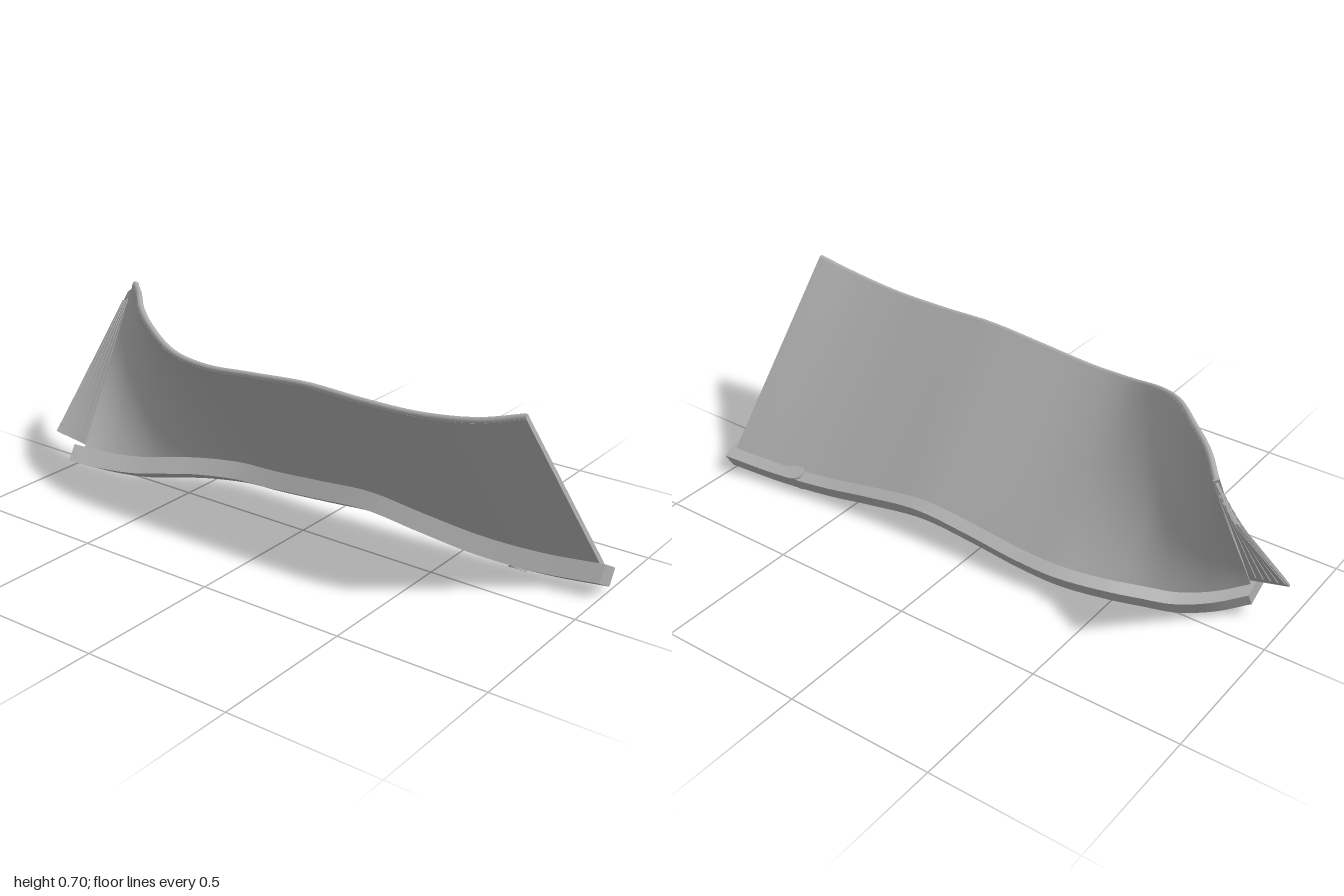
import * as THREE from 'three';
import { toCreasedNormals } from 'three/addons/utils/BufferGeometryUtils.js';

const V = (x, y, z) => new THREE.Vector3(x, y, z);

// closed solid from matching loops, counter-clockwise seen from the first end
function loft(loops) {
  const pos = [];
  const tri = (...pts) => pts.forEach(p => pos.push(p.x, p.y, p.z));
  const n = loops[0].length;
  for (let i = 0; i < loops.length - 1; i++) {
    for (let j = 0; j < n; j++) {
      const k = (j + 1) % n;
      const a = loops[i][j], b = loops[i][k], c = loops[i + 1][k], d = loops[i + 1][j];
      tri(a, d, c);
      tri(a, c, b);
    }
  }
  // end caps, joined as ladders across the loop
  const first = loops[0], last = loops[loops.length - 1];
  for (let j = 0; j < n / 2 - 1; j++) {
    const k = n - 1 - j;
    tri(first[j], first[j + 1], first[k - 1]);
    tri(first[j], first[k - 1], first[k]);
    tri(last[j], last[k - 1], last[j + 1]);
    tri(last[j], last[k], last[k - 1]);
  }
  const g = new THREE.BufferGeometry();
  g.setAttribute('position', new THREE.Float32BufferAttribute(pos, 3));
  return toCreasedNormals(g, 0.6);
}

// thin slab spanned by straight lines from a lower to an upper edge
function ruledSlab(low, high, half, rows) {
  const tangent = (pts, i) => pts[Math.min(i + 1, pts.length - 1)].clone().sub(pts[Math.max(i - 1, 0)]);
  return loft(low.map((b, i) => {
    const up = high[i].clone().sub(b);
    const right = [], left = [];
    for (let r = 0; r <= rows; r++) {
      const p = b.clone().lerp(high[i], r / rows);
      const n = tangent(low, i).lerp(tangent(high, i), r / rows).cross(up).setLength(half);
      right.push(p.clone().add(n));
      left.unshift(p.clone().sub(n));
    }
    return [...right, ...left];
  }));
}

export function createModel() {
  const group = new THREE.Group();
  const grey = new THREE.MeshStandardMaterial({ color: 0xaeaeae });
  grey.name = 'grey';
  const add = (name, geometry) => {
    const m = new THREE.Mesh(geometry, grey);
    m.name = name;
    group.add(m);
    return m;
  };

  // inner upper corner of the rail, front to back
  const railPath = [
    [0.18, 0.105, 1], [0.152, 0.095, 0.8], [0.128, 0.103, 0.6], [0.11, 0.13, 0.4],
    [0.1, 0.155, 0.2], [0.097, 0.142, 0], [0.1, 0.125, -0.2], [0.095, 0.12, -0.35],
    [0.055, 0.112, -0.5], [0.012, 0.103, -0.6], [-0.035, 0.095, -0.7],
    [-0.095, 0.108, -0.8], [-0.16, 0.137, -0.89]
  ];
  // upper edge of the sheet, twisting over at the back
  const topPath = [
    [-0.212, 0.682, 0.915], [-0.234, 0.646, 0.78], [-0.243, 0.623, 0.6], [-0.245, 0.62, 0.4],
    [-0.245, 0.625, 0.2], [-0.245, 0.611, 0], [-0.243, 0.597, -0.2], [-0.225, 0.609, -0.35],
    [-0.165, 0.652, -0.5], [-0.097, 0.678, -0.6], [0, 0.688, -0.7],
    [0.09, 0.678, -0.8], [0.167, 0.648, -0.87]
  ];
  const N = 96;
  const sample = path => {
    const c = new THREE.CatmullRomCurve3(path.map(p => V(...p)));
    return Array.from({ length: N + 1 }, (_, i) => c.getPoint(i / N));
  };
  const corner = sample(railPath), top = sample(topPath);
  const down = V(-0.031, -0.053, 0), out = V(0.072, -0.04, 0);

  // bottom rail of constant rectangular section
  add('bottomRail', loft(corner.map(p => [
    p.clone(),
    p.clone().add(down),
    p.clone().add(down).add(out),
    p.clone().add(out)
  ])));

  // twisted sheet standing on the rail
  const foot = corner.map(p => {
    const q = p.clone().addScaledVector(out, 0.45).addScaledVector(down, 0.1);
    q.z *= 0.98;
    return q;
  });
  add('twistedSheet', ruledSlab(foot, top, 0.01, 16));

  // rounded bead along the upper edge
  add('upperBead', new THREE.TubeGeometry(new THREE.CatmullRomCurve3(top), N, 0.01, 8));

  // tail plate behind the sheet, with tapered ribs on both faces
  const a0 = foot[N].clone().add(V(0.005, 0.015, 0)), a1 = V(-0.138, 0.153, -0.998);
  const b0 = top[N].clone().add(V(-0.005, -0.01, 0)), b1 = V(0.238, 0.585, -0.975);
  const across = (p, q, f) => p.clone().lerp(q, f);
  const steps = Array.from({ length: 11 }, (_, i) => i / 10);
  add('tailPlate', ruledSlab(
    steps.map(f => across(a0, a1, f)),
    steps.map(f => across(b0, b1, f)), 0.004, 8));
  for (let i = 0; i < 5; i++) {
    const f = 0.06 + i * 0.19;
    const ruling = (g, t) => across(across(a0, a1, g), across(b0, b1, g), t);
    add('tailRib', ruledSlab(
      [ruling(f, 0.05), ruling(f + 0.15, 0.05)],
      [ruling(f + 0.04, 0.93), ruling(f + 0.11, 0.93)], 0.008, 8));
  }

  // round pin through the front of the rail
  const pin = add('railPin', new THREE.CylinderGeometry(0.03, 0.03, 0.075, 24));
  pin.position.set(0.143, 0.096, 0.72).addScaledVector(out, 0.62).addScaledVector(down, 0.5);
  pin.quaternion.setFromUnitVectors(V(0, 1, 0), down.clone().negate().normalize());

  return group;
}
